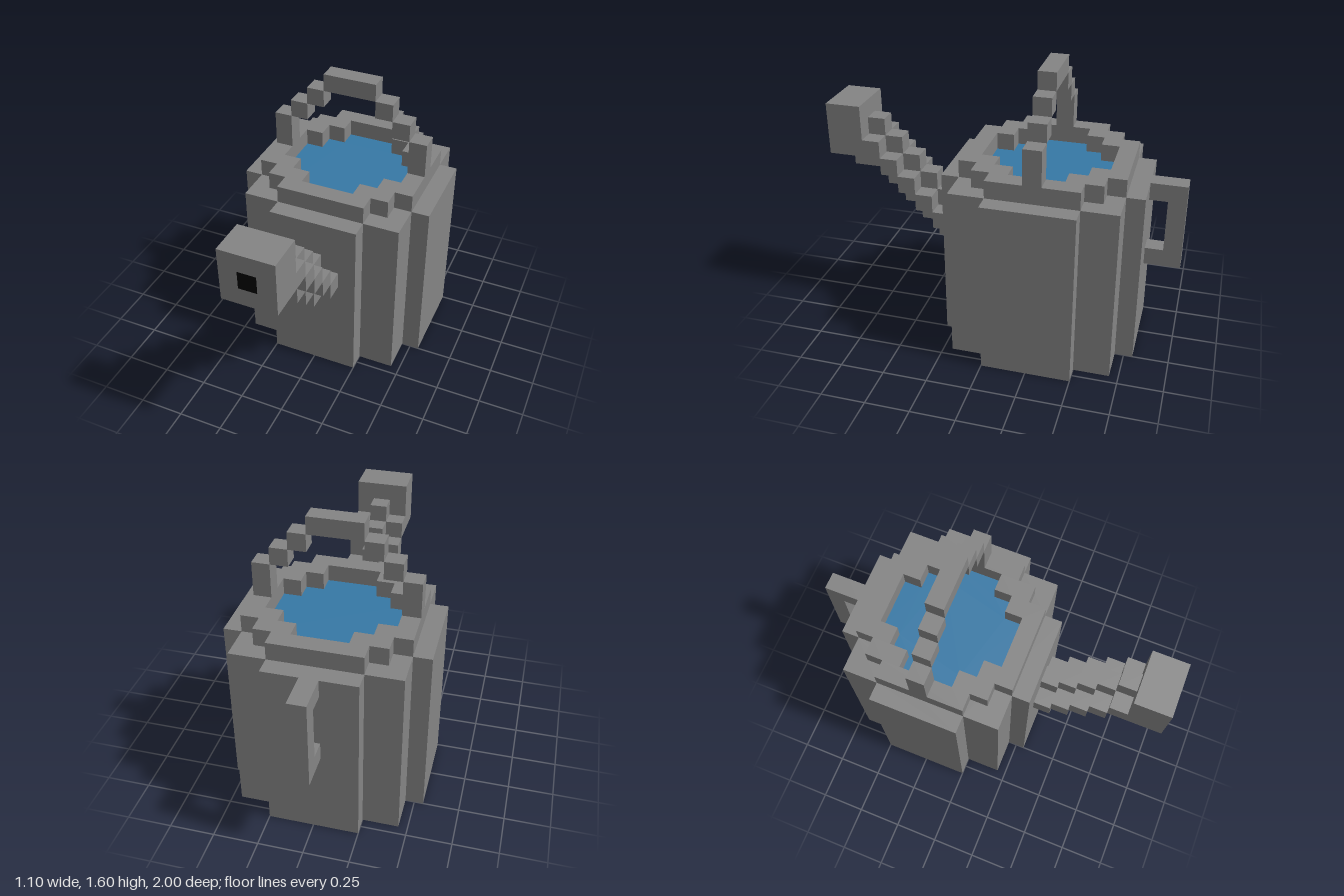
import * as THREE from 'three';

const grey = new THREE.MeshStandardMaterial({ color: 0x848484, flatShading: true });
const blue = new THREE.MeshStandardMaterial({ color: 0x3678a5, flatShading: true });
const black = new THREE.MeshStandardMaterial({ color: 0x000000, flatShading: true });
const CENTRE_Z = -0.25;

// Stepped round outline (counter-clockwise) from [halfWidth, halfDepth] levels, narrowest first
function stepped(levels) {
  const q = [];
  levels.forEach(([w, d], i) => {
    q.push([w, d]);
    if (i < levels.length - 1) q.push([w, levels[i + 1][1]]);
  });
  const r = [...q].reverse();
  return [
    ...q.map(([x, y]) => [-x, y]),
    ...r.map(([x, y]) => [-x, -y]),
    ...q.map(([x, y]) => [x, -y]),
    ...r,
  ].map(([x, y]) => new THREE.Vector2(x, y));
}

function add(parent, name, geometry, material = grey) {
  const mesh = new THREE.Mesh(geometry, material);
  mesh.name = name;
  parent.add(mesh);
  return mesh;
}

// Box given by its min and max along each axis
function block(parent, name, [x0, x1], [y0, y1], [z0, z1]) {
  const mesh = add(parent, name, new THREE.BoxGeometry(x1 - x0, y1 - y0, z1 - z0));
  mesh.position.set((x0 + x1) / 2, (y0 + y1) / 2, (z0 + z1) / 2);
}

function group(parent, name) {
  const g = new THREE.Group();
  g.name = name;
  parent.add(g);
  return g;
}

// Upright prism standing at height y
function prism(parent, name, shape, y, height) {
  const geometry = new THREE.ExtrudeGeometry(shape, { depth: height, bevelEnabled: false });
  geometry.rotateX(-Math.PI / 2);
  add(parent, name, geometry).position.set(0, y, CENTRE_Z);
}

export function createModel() {
  const model = new THREE.Group();
  model.name = 'wateringCan';

  // Body, raised rim and water surface
  prism(model, 'body', new THREE.Shape(stepped([[0.25, 0.55], [0.45, 0.45], [0.55, 0.25]])), 0, 1);
  const opening = stepped([[0.15, 0.35], [0.25, 0.25], [0.35, 0.15]]);
  const rim = new THREE.Shape(stepped([[0.25, 0.45], [0.35, 0.35], [0.45, 0.25]]));
  rim.holes.push(new THREE.Path(opening));
  prism(model, 'rim', rim, 1, 0.1);
  const water = new THREE.ShapeGeometry(new THREE.Shape(opening)).rotateX(-Math.PI / 2);
  add(model, 'water', water, blue).position.set(0, 1.003, CENTRE_Z);

  // Arched carrying handle
  const handle = group(model, 'topHandle');
  const z = [-0.3, -0.2];
  for (const s of [-1, 1]) {
    const span = (a, b) => (s > 0 ? [a, b] : [-b, -a]);
    block(handle, 'handlePost', span(0.35, 0.45), [1.1, 1.3], z);
    block(handle, 'handleStep', span(0.25, 0.35), [1.3, 1.4], z);
    block(handle, 'handleStep', span(0.15, 0.25), [1.4, 1.5], z);
  }
  block(handle, 'handleGrip', [-0.15, 0.15], [1.5, 1.6], z);

  // Rear handle
  const rear = group(model, 'rearHandle');
  const x = [-0.05, 0.05];
  block(rear, 'rearGrip', x, [0.5, 1], [-1, -0.9]);
  block(rear, 'rearUpperArm', x, [0.9, 1], [-0.9, -0.8]);
  block(rear, 'rearLowerArm', x, [0.5, 0.6], [-0.9, -0.8]);

  // Spout: plus-shaped slices climbing forward
  const spout = group(model, 'spout');
  const a = 0.05, b = 0.15;
  const plus = new THREE.Shape([
    [a, b], [-a, b], [-a, a], [-b, a], [-b, -a], [-a, -a],
    [-a, -b], [a, -b], [a, -a], [b, -a], [b, a], [a, a],
  ].map(([px, py]) => new THREE.Vector2(px, py)));
  const slice = new THREE.ExtrudeGeometry(plus, { depth: 0.1, bevelEnabled: false });
  for (let i = 0; i < 5; i++) {
    add(spout, 'spoutSlice', slice).position.set(0, 0.65 + i * 0.1, 0.3 + i * 0.1);
  }
  block(spout, 'spoutUnderside', x, [0.9, 1], [0.8, 0.9]);

  // Spout head with dark opening
  block(spout, 'spoutHead', [-0.15, 0.15], [1, 1.3], [0.8, 1]);
  add(spout, 'spoutOpening', new THREE.PlaneGeometry(0.1, 0.1), black).position.set(0, 1.15, 1.002);

  return model;
}
